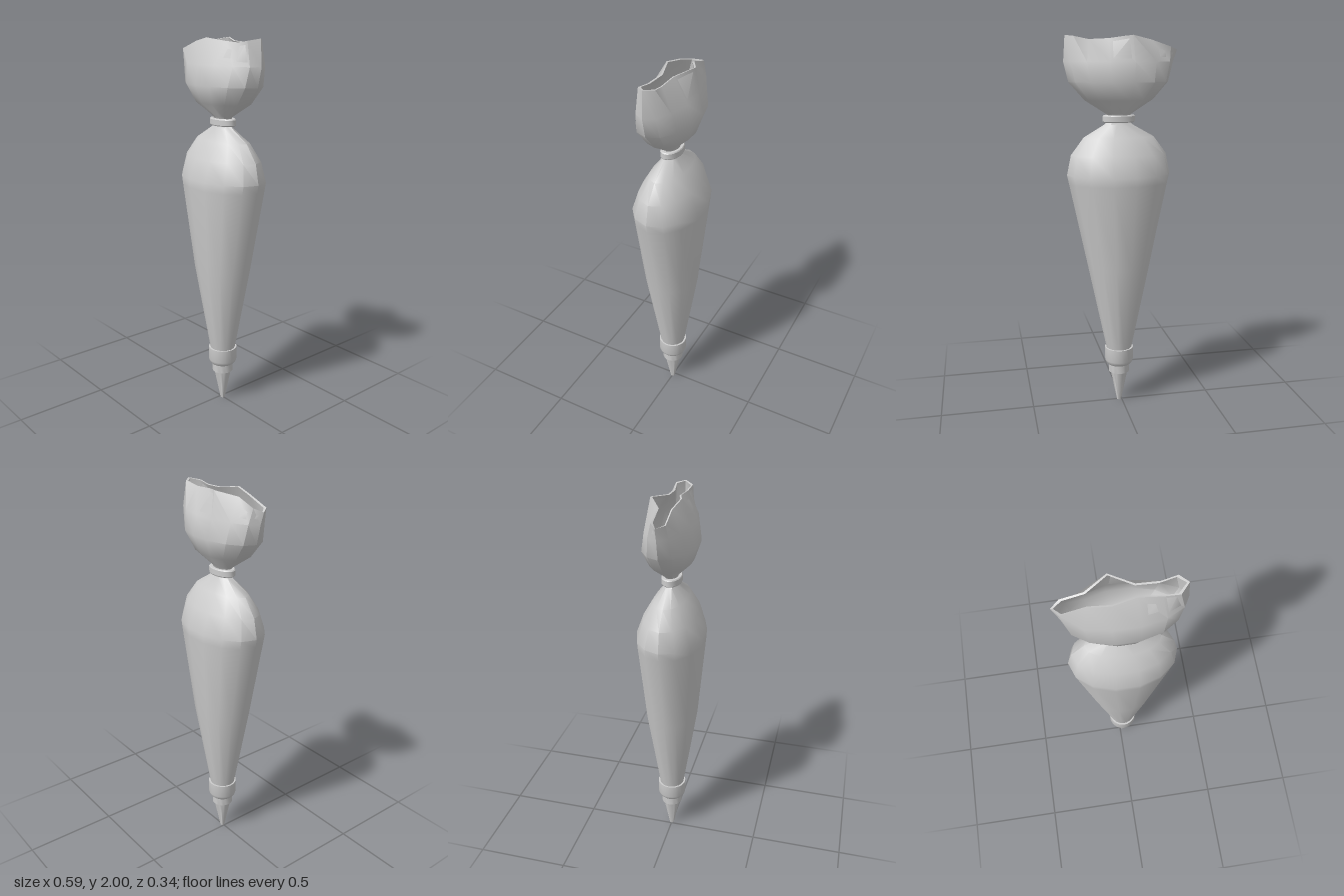
import * as THREE from 'three';
import { toCreasedNormals } from 'three/addons/utils/BufferGeometryUtils.js';

const CX = 0.015, SIDES = 14, WALL = 0.008;
const grey = new THREE.MeshStandardMaterial({ color: 0xcccccc, side: THREE.DoubleSide });

// [height, half width, half depth, pleat depth] from nozzle to below the mouth
const RINGS = [
  [0.27, 0.06, 0.058, 0], [0.32, 0.07, 0.068, 0], [0.8, 0.17, 0.139, 0],
  [1.25, 0.265, 0.174, 0], [1.295, 0.275, 0.176, 0], [1.4, 0.253, 0.137, 0],
  [1.49, 0.185, 0.085, 0], [1.555, 0.075, 0.036, 0.1], [1.583, 0.05, 0.028, 0.2],
  [1.61, 0.07, 0.036, 0.1], [1.68, 0.18, 0.107, 0], [1.77, 0.26, 0.137, 0],
  [1.87, 0.284, 0.114, 0],
];

// Uneven mouth [x, y, z], going round from the left tip over the back
const MOUTH = [
  [0.29, 2.0, 0], [0.252, 1.995, -0.042], [0.175, 1.98, -0.033], [0.07, 1.985, -0.035],
  [-0.04, 2.0, -0.09], [-0.145, 1.98, -0.03], [-0.25, 1.945, -0.03], [-0.29, 1.93, 0],
  [-0.258, 1.94, 0.042], [-0.145, 1.98, 0.043], [-0.04, 2.0, 0.061], [0.07, 1.985, 0.03],
  [0.175, 1.98, 0.039], [0.248, 1.99, 0.046],
];

function ring([y, rx, rz, pleat], inset) {
  return Array.from({ length: SIDES }, (_, i) => {
    const a = (i / SIDES) * Math.PI * 2, k = i % 2 ? 1 - pleat : 1;
    return [CX + Math.cos(a) * (rx - inset) * k, y, -Math.sin(a) * (rz - inset) * k];
  });
}

// Skin a stack of closed rings
function loft(rings) {
  const n = SIDES, index = [];
  for (let r = 0; r < rings.length - 1; r++) {
    for (let i = 0; i < n; i++) {
      const a = r * n + i, b = r * n + (i + 1) % n;
      index.push(a, b, a + n, b, b + n, a + n);
    }
  }
  const g = new THREE.BufferGeometry();
  g.setAttribute('position', new THREE.Float32BufferAttribute(rings.flat(2), 3));
  g.setIndex(index);
  return toCreasedNormals(g, 0.7);
}

function add(group, name, geometry) {
  const mesh = new THREE.Mesh(geometry, grey);
  mesh.name = name;
  group.add(mesh);
  return mesh;
}

function lathe(points, sides) {
  const g = new THREE.LatheGeometry(points.map(([x, y]) => new THREE.Vector2(x, y)), sides);
  return toCreasedNormals(g, 0.6);
}

export function createModel() {
  const group = new THREE.Group();
  group.name = 'pipingBag';

  // Cloth bag: outer skin up to the mouth, then the inner skin back down
  const innerMouth = MOUTH.map(([x, y, z]) =>
    [x * 0.96, y - 0.002, Math.sign(z) * (Math.abs(z) - WALL)]);
  // The gathered neck closes to a small hole
  const inner = RINGS.map((r, i) => ring(r, i === 8 ? 0.016 : WALL)).reverse();
  add(group, 'bag', loft([...RINGS.map((r) => ring(r, 0)), MOUTH, innerMouth, ...inner]));

  // Band that ties the neck
  const tie = add(group, 'tie', lathe([
    [0.06, 1.565], [0.08, 1.565], [0.085, 1.57], [0.085, 1.597],
    [0.08, 1.602], [0.06, 1.602], [0.06, 1.565],
  ], 24));
  tie.position.x = CX;
  tie.scale.z = 0.6;

  // Collar that clamps the bag to the nozzle
  const collar = add(group, 'collar', lathe([
    [0.05, 0.225], [0.064, 0.225], [0.073, 0.235], [0.078, 0.25],
    [0.078, 0.322], [0.068, 0.322], [0.06, 0.27], [0.05, 0.225],
  ], 24));
  collar.position.x = CX;

  // Hollow nozzle with a stepped shoulder
  const nozzle = add(group, 'nozzle', lathe([
    [0.012, 0], [0.047, 0.175], [0.057, 0.177], [0.057, 0.23],
    [0.047, 0.23], [0.04, 0.175], [0.009, 0], [0.012, 0],
  ], 24));
  nozzle.position.x = CX;

  return group;
}
